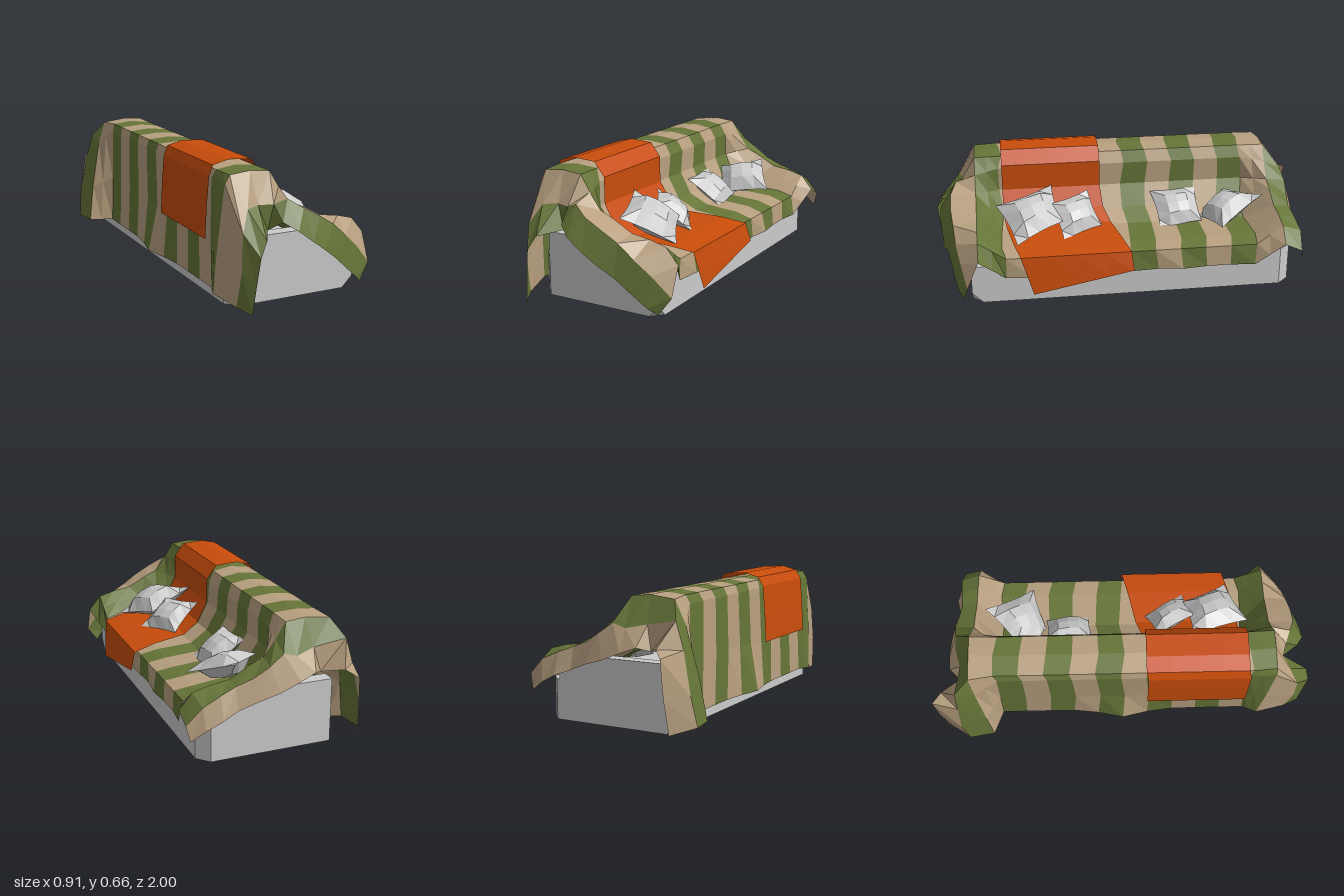
import * as THREE from 'three';

const fabric = (color) => new THREE.MeshStandardMaterial({ color, flatShading: true, side: THREE.DoubleSide });
const grey = new THREE.MeshStandardMaterial({ color: 0xcccccc, flatShading: true });

function add(parent, name, geometry, material) {
  const mesh = new THREE.Mesh(geometry, material);
  mesh.name = name;
  parent.add(mesh);
  return mesh;
}

// Open sheet lofted through rows of [x, y, z] points
function sheet(rows) {
  const n = rows[0].length, index = [];
  for (let r = 0; r < rows.length - 1; r++) {
    for (let c = 0; c < n - 1; c++) {
      const a = r * n + c, b = a + n;
      index.push(a, b, a + 1, a + 1, b, b + 1);
    }
  }
  const g = new THREE.BufferGeometry();
  g.setAttribute('position', new THREE.Float32BufferAttribute(rows.flat(2), 3));
  g.setIndex(index);
  g.computeVertexNormals();
  return g;
}

// Cushion stretched between four corners, pinched along its edges and puffed in the middle
function cushion(corners, thickness) {
  const [a, b, c, d] = corners.map((p) => new THREE.Vector3(...p));
  const U = b.clone().sub(a).add(c).sub(d), V = d.clone().sub(a).add(c).sub(b);
  const normal = V.cross(U).normalize();
  const g = new THREE.BoxGeometry(2, 2, 2, 4, 1, 4);
  const pos = g.attributes.position, p = new THREE.Vector3();
  for (let i = 0; i < pos.count; i++) {
    const u = pos.getX(i), v = pos.getZ(i), side = Math.sign(pos.getY(i));
    const s = (u * (1 - 0.08 * (1 - v * v)) + 1) / 2;
    const t = (v * (1 - 0.08 * (1 - u * u)) + 1) / 2;
    const puff = Math.sqrt(Math.max(0, (1 - u * u) * (1 - v * v)));
    p.set(0, 0, 0)
      .addScaledVector(a, (1 - s) * (1 - t)).addScaledVector(b, s * (1 - t))
      .addScaledVector(c, s * t).addScaledVector(d, (1 - s) * t)
      .addScaledVector(normal, side * thickness * puff);
    pos.setXYZ(i, p.x, p.y, p.z);
  }
  g.computeVertexNormals();
  return g;
}

// Closed prism through stacked outlines: each ring is a height and a list of [x, z]
function prism(rings) {
  const n = rings[0].outline.length, last = (rings.length - 1) * n, index = [];
  const pos = rings.flatMap(({ y, outline }) => outline.flatMap(([x, z]) => [x, y, z]));
  for (let r = 0; r < last; r += n) {
    for (let i = 0; i < n; i++) {
      const j = (i + 1) % n;
      index.push(r + i, r + j, r + n + i, r + j, r + n + j, r + n + i);
    }
  }
  for (let i = 1; i < n - 1; i++) index.push(0, i + 1, i, last, last + i, last + i + 1);
  const g = new THREE.BufferGeometry();
  g.setAttribute('position', new THREE.Float32BufferAttribute(pos, 3));
  g.setIndex(index);
  g.computeVertexNormals();
  return g;
}

// Blanket profile over the seat, from back hem to front hem: [x, y]
const seat = [[-0.318, 0.05], [-0.314, 0.3], [-0.31, 0.58], [-0.295, 0.622], [-0.19, 0.632], [-0.085, 0.62],
  [-0.058, 0.56], [-0.058, 0.44], [0.005, 0.33], [0.1, 0.275], [0.29, 0.26], [0.38, 0.24], [0.39, 0.135]];
// Blanket profile where it climbs over an arm
const arm = [[-0.35, 0.05], [-0.33, 0.3], [-0.31, 0.58], [-0.285, 0.62], [-0.18, 0.63], [-0.08, 0.62],
  [-0.03, 0.54], [0.03, 0.46], [0.1, 0.43], [0.2, 0.375], [0.3, 0.36], [0.385, 0.337], [0.45, 0.26]];
// Draped ends, each with a hanging tail at the back corner
const nearFold = [[-0.31, 0.03, 0.9], [-0.3, 0.2, 0.93], [-0.29, 0.38, 0.92], [-0.24, 0.475, 0.87], [-0.17, 0.48, 0.84],
  [-0.1, 0.48, 0.86], [-0.04, 0.505, 0.88], [0.03, 0.46, 0.91], [0.12, 0.41, 0.91], [0.2, 0.36, 0.9],
  [0.28, 0.29, 0.89], [0.36, 0.22, 0.87], [0.45, 0.12, 0.84]];
const nearHem = [[-0.27, 0.01, 0.98], [-0.255, 0.15, 0.99], [-0.24, 0.28, 1], [-0.2, 0.35, 0.98], [-0.13, 0.36, 0.86],
  [-0.09, 0.41, 0.93], [-0.03, 0.37, 0.97], [0.05, 0.31, 0.97], [0.12, 0.26, 0.96], [0.2, 0.2, 0.93],
  [0.28, 0.13, 0.91], [0.35, 0.07, 0.89], [0.39, 0.035, 0.86]];
const farFold = [[-0.46, 0.05, -0.84], [-0.44, 0.2, -0.87], [-0.4, 0.4, -0.86], [-0.36, 0.53, -0.86], [-0.2, 0.5, -0.84],
  [-0.1, 0.48, -0.87], [-0.03, 0.5, -0.87], [0.04, 0.45, -0.88], [0.12, 0.4, -0.87], [0.2, 0.37, -0.86],
  [0.28, 0.34, -0.87], [0.37, 0.3, -0.88], [0.45, 0.22, -0.87]];
const farHem = [[-0.38, 0.03, -0.96], [-0.37, 0.2, -0.99], [-0.36, 0.38, -1], [-0.31, 0.41, -0.95], [-0.23, 0.38, -0.86],
  [-0.18, 0.4, -0.91], [-0.1, 0.37, -0.92], [0, 0.33, -0.92], [0.1, 0.3, -0.91], [0.2, 0.26, -0.89],
  [0.28, 0.23, -0.91], [0.36, 0.19, -0.9], [0.43, 0.14, -0.88]];

const atZ = (profile, z) => profile.map(([x, y]) => [x, y, z]);
const blend = (p, q, t) => p.map((a, i) => a.map((v, k) => v + (q[i][k] - v) * t));

// Seat row with gentle ripples and a back hem that kicks out near the middle
const rippled = (z) => seat.map(([x, y], i) => [
  x + (i === 12 ? 0.01 * Math.sin(z * 17) : 0) - (i === 0 ? 0.045 * Math.exp(-z * z * 60) : 0),
  y, z + 0.012 * Math.sin(i * 1.9 + z * 3)]);

function blanketStripes() {
  const farArm = atZ(arm, -0.78);
  farArm.splice(0, 4, [-0.44, 0.05, -0.71], [-0.41, 0.25, -0.73], [-0.355, 0.5, -0.76], [-0.31, 0.615, -0.78]);
  const nearArm = atZ(arm, 0.78);
  nearArm.splice(0, 2, [-0.35, 0.05, 0.74], [-0.335, 0.3, 0.76]);
  const middle = Array.from({ length: 11 }, (_, i) => rippled(-0.65 + i * 0.13));
  const rise = (from, to) => [from, blend(from, to, 0.5), to];
  const stripes = [[farHem, farFold], [farFold, farArm], rise(farArm, middle[0])];
  for (let i = 0; i < 10; i++) stripes.push([middle[i], middle[i + 1]]);
  stripes.push(rise(middle[10], nearArm), [nearArm, nearFold], [nearFold, nearHem]);
  return stripes;
}

export function createModel() {
  const model = new THREE.Group();
  model.name = 'drapedSofa';

  // Base with two cut upright edges and a clipped front foot, and an arm panel at each end
  const base = new THREE.Group();
  base.name = 'sofaBase';
  model.add(base);
  const outline = (cut) => [[-0.305, -0.84], [-0.305, 0.76], [-0.25, 0.82], [0.37 - cut, 0.82], [0.37, 0.82 - cut],
    [0.37, -0.78], [0.315, -0.84]];
  add(base, 'plinth', prism([
    { y: 0, outline: outline(0.055) }, { y: 0.055, outline: outline(0) }, { y: 0.2, outline: outline(0) }]), grey);
  for (const [x0, x1, z] of [[-0.305, 0.3, -0.805], [-0.25, 0.3, 0.785]]) {
    const panel = add(base, 'armPanel', new THREE.BoxGeometry(x1 - x0, 0.13, 0.07), grey);
    panel.position.set((x0 + x1) / 2, 0.26, z);
  }

  // Striped blanket
  const blanket = new THREE.Group();
  blanket.name = 'stripedBlanket';
  model.add(blanket);
  const green = fabric(0x667538), tan = fabric(0xb8a080);
  blanketStripes().forEach((rows, i) =>
    add(blanket, i % 2 ? 'greenStripe' : 'tanStripe', sheet(rows), i % 2 ? green : tan));

  // Orange throw: [x, y, right edge z, left edge z] from back hem to front hem
  const path = [[-0.345, 0.29, 0.13, 0.65], [-0.337, 0.45, 0.13, 0.65], [-0.325, 0.59, 0.13, 0.65], [-0.3, 0.638, 0.12, 0.64],
    [-0.22, 0.658, 0.12, 0.64], [-0.1, 0.65, 0.12, 0.64], [-0.045, 0.58, 0.12, 0.64], [-0.043, 0.445, 0.12, 0.64],
    [0.015, 0.345, 0.11, 0.64], [0.105, 0.293, 0.08, 0.63], [0.29, 0.278, 0.04, 0.6], [0.41, 0.255, 0.01, 0.57],
    [0.435, 0.16, 0, 0.51]];
  const throwRows = [0, 0.25, 0.5, 0.75, 1].map((t) => path.map(([x, y, z0, z1], i) =>
    [x, i === 12 ? y - 0.1 * t : y, z0 + (z1 - z0) * t]));
  add(model, 'orangeThrow', sheet(throwRows), fabric(0xc84c0b));

  // Scatter cushions leaning on the back
  const cushions = [
    [[[0.15, 0.42, -0.73], [0.305, 0.31, -0.48], [0.04, 0.275, -0.39], [-0.035, 0.39, -0.56]], 0.065],
    [[[-0.045, 0.41, -0.4], [0.13, 0.28, -0.41], [0.17, 0.255, -0.18], [-0.03, 0.4, -0.15]], 0.055],
    [[[-0.02, 0.43, 0.19], [0.14, 0.29, 0.13], [0.275, 0.275, 0.34], [0.1, 0.41, 0.4]], 0.055],
    [[[-0.04, 0.46, 0.38], [0.2, 0.35, 0.34], [0.325, 0.285, 0.58], [0.065, 0.4, 0.68]], 0.07],
  ];
  for (const [corners, thickness] of cushions) add(model, 'cushion', cushion(corners, thickness), grey);

  return model;
}
